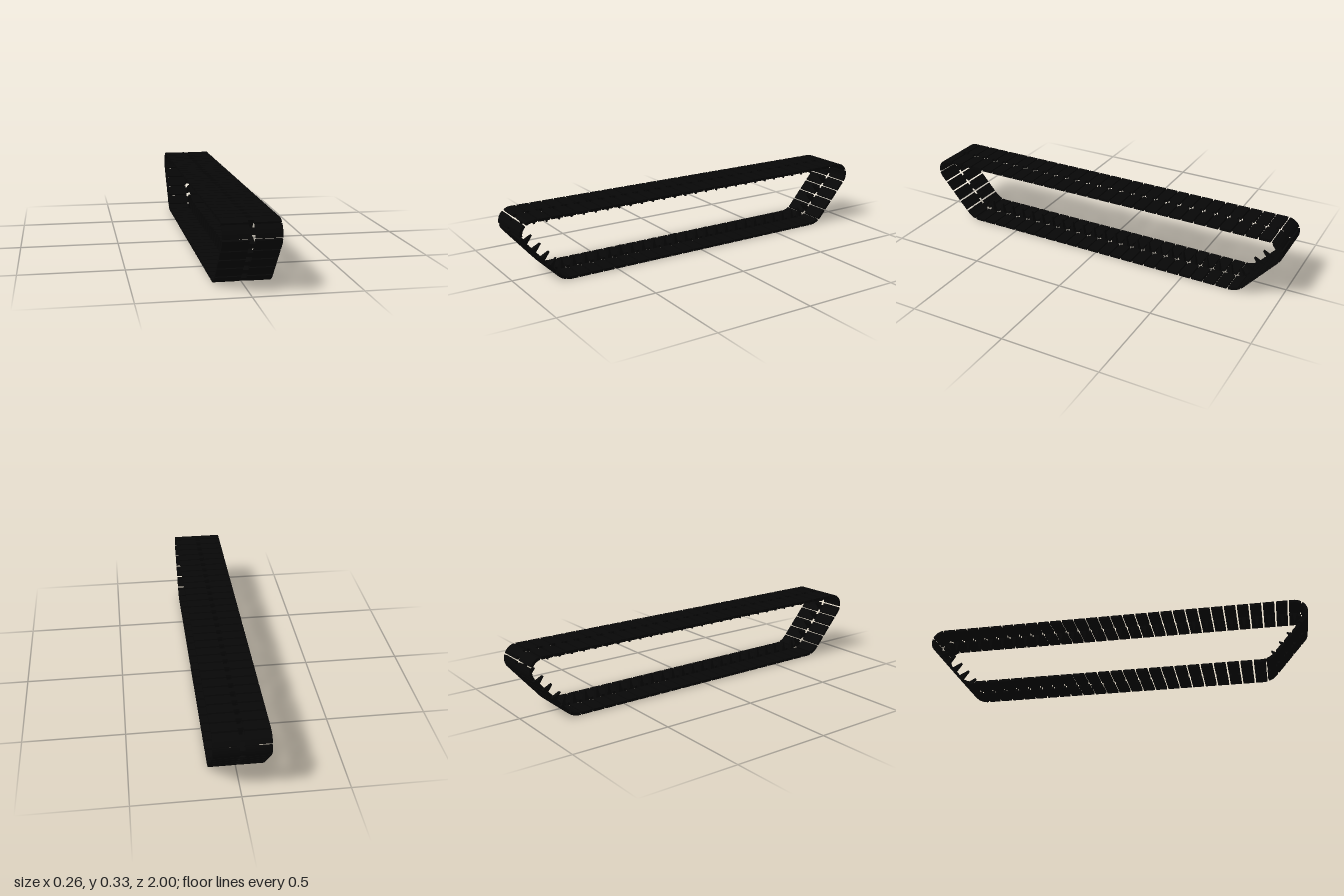
import * as THREE from 'three';
import { mergeGeometries } from 'three/addons/utils/BufferGeometryUtils.js';

const LINKS = 65;
const WIDTH = 0.262, LENGTH = 0.0575, THICK = 0.014;
const NOTCH = 0.026, BRIDGE = 0.029;

// Closed centre line of the track in (z, y): two end wheels and two lower road wheels
function trackPath() {
  const end = { z: 0.933, y: 0.263, r: 0.06 };
  const road = { z: 0.748, y: 0.1, r: 0.093 };
  const dz = road.z - end.z, dy = road.y - end.y;
  // angle of the outward normal on the sloping run (common tangent of both wheels)
  const a = Math.atan2(dy, dz) + Math.acos((end.r - road.r) / Math.hypot(dz, dy));
  const path = new THREE.Path();
  path.moveTo(0, end.y + end.r);
  path.lineTo(end.z, end.y + end.r);
  path.absarc(end.z, end.y, end.r, Math.PI / 2, a, true);
  path.absarc(road.z, road.y, road.r, a, -Math.PI / 2, true);
  path.absarc(-road.z, road.y, road.r, -Math.PI / 2, -Math.PI - a, true);
  path.absarc(-end.z, end.y, end.r, -Math.PI - a, -1.5 * Math.PI, true);
  path.lineTo(0, end.y + end.r);
  return path;
}

// Flat shoe: two side plates joined by a shorter bridge, leaving notches front and rear
function shoeGeometry() {
  const w = (WIDTH - NOTCH) / 2, x = (WIDTH + NOTCH) / 4;
  return mergeGeometries([
    new THREE.BoxGeometry(w, THICK, LENGTH, 1, 1, 8).translate(x, 0, 0),
    new THREE.BoxGeometry(w, THICK, LENGTH, 1, 1, 8).translate(-x, 0, 0),
    new THREE.BoxGeometry(NOTCH, THICK, BRIDGE, 1, 1, 4),
  ]);
}

// Guide horn: a box pointing inward (-y), tapered towards its tip
function hornGeometry() {
  const h = 0.053;
  const geo = new THREE.BoxGeometry(NOTCH, h, 0.024).translate(0, -h / 2 - THICK / 2 + 0.001, 0);
  const p = geo.attributes.position;
  for (let i = 0; i < p.count; i++) {
    if (p.getY(i) < -h / 2) {
      p.setX(i, p.getX(i) * 0.5);
      p.setZ(i, p.getZ(i) * 0.22);
    }
  }
  return geo;
}

// Wraps a flat part round the path, its z running along the path from distance s
function wrap(source, path, s) {
  const geo = source.clone();
  const p = geo.attributes.position, total = path.getLength();
  for (let i = 0; i < p.count; i++) {
    const u = ((s + p.getZ(i)) / total + 1) % 1;
    const c = path.getPoint(u), t = path.getTangent(u), y = p.getY(i);
    p.setXYZ(i, p.getX(i), c.y + t.x * y, c.x - t.y * y);
  }
  geo.computeVertexNormals();
  return geo;
}

export function createModel() {
  const model = new THREE.Group();
  model.name = 'crawlerTrack';
  const material = new THREE.MeshStandardMaterial({ color: 0x070707 });
  const parts = { shoe: shoeGeometry(), guideHorn: hornGeometry() };
  const path = trackPath();
  const pitch = path.getLength() / LINKS;

  for (let i = 0; i < LINKS; i++) {
    const link = new THREE.Group();
    link.name = 'trackLink' + (i + 1);
    for (const [name, flat] of Object.entries(parts)) {
      const mesh = new THREE.Mesh(wrap(flat, path, (i + 0.25) * pitch), material);
      mesh.name = name;
      link.add(mesh);
    }
    model.add(link);
  }
  return model;
}
